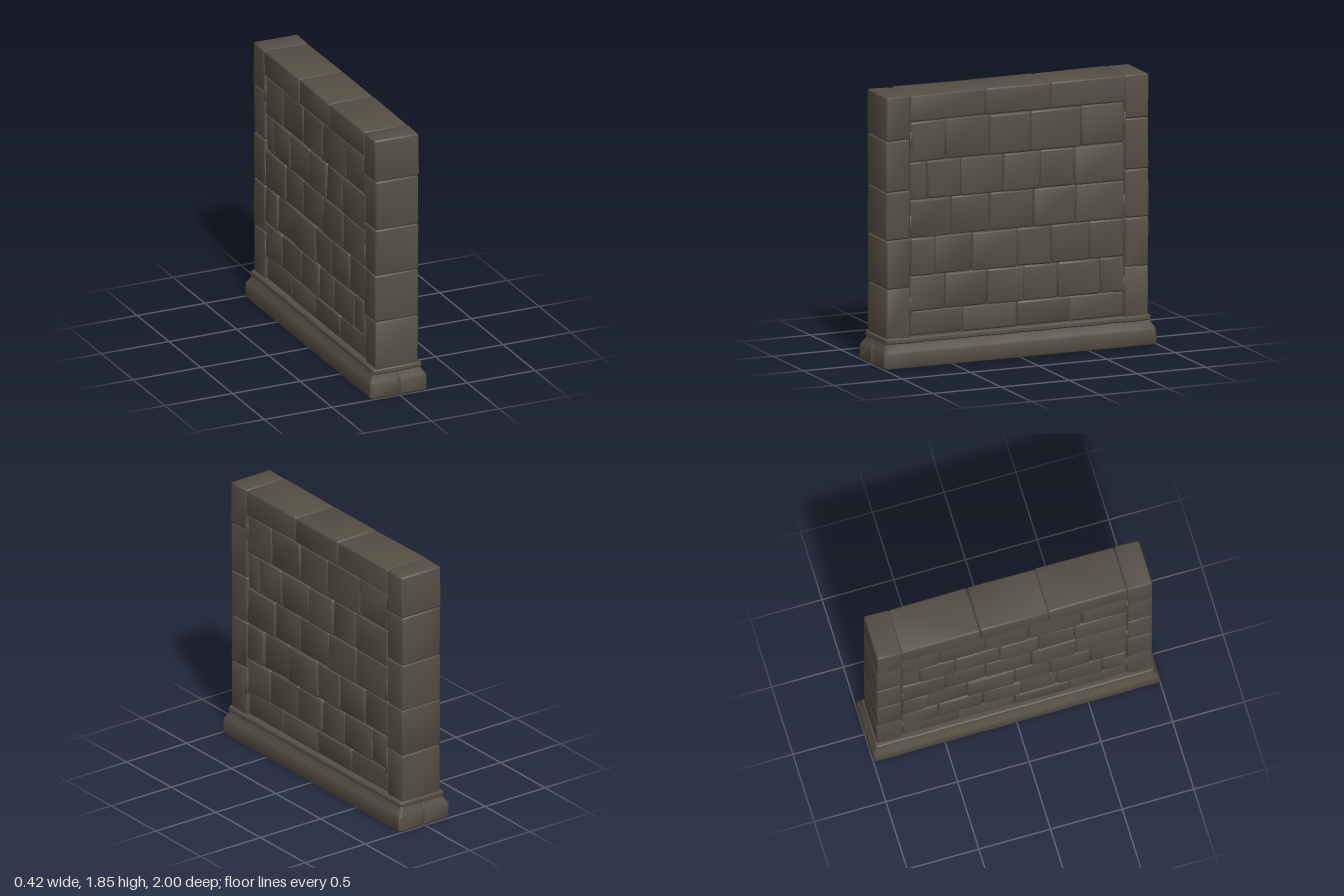
import * as THREE from 'three';
import { mergeVertices, toCreasedNormals } from 'three/addons/utils/BufferGeometryUtils.js';
import { RoundedBoxGeometry } from 'three/addons/geometries/RoundedBoxGeometry.js';

// Seeded random numbers for stone-to-stone variation
let seed = 7;
const rand = () => {
  seed = (seed * 16807) % 2147483647;
  return seed / 2147483647;
};

// Gentle unevenness that makes edges look hand cut
function weather(geometry, amount, phase = 0) {
  const p = geometry.attributes.position;
  for (let i = 0; i < p.count; i++) {
    const x = p.getX(i), y = p.getY(i), z = p.getZ(i);
    p.setXYZ(i,
      x + amount * Math.sin(13 * y + 17 * z + phase),
      y + amount * Math.sin(19 * z + 11 * x + phase * 2) * Math.min(1, y * 10),
      z + amount * Math.sin(15 * y + 21 * x + phase * 3));
  }
}

// One worn block given by its limits on each axis
function block(name, material, [x0, x1], [y0, y1], [z0, z1], radius = 0.014, wear = 0.003) {
  let g = new RoundedBoxGeometry(x1 - x0, y1 - y0, z1 - z0, 3, radius);
  g.deleteAttribute('normal');
  g.deleteAttribute('uv');
  g.translate((x0 + x1) / 2, (y0 + y1) / 2, (z0 + z1) / 2);
  g = mergeVertices(g, 1e-5);
  weather(g, wear, rand() * 6);
  const mesh = new THREE.Mesh(toCreasedNormals(g, 0.7), material);
  mesh.name = name;
  return mesh;
}

// Outline of the plinth at one height, with cut corners and a seam in each end
function plinthRing(y, hx, hz, notch) {
  const c = Math.min(0.014, hx), s = Math.min(0.012, hx), half = [];
  for (const [x, dz] of [[-hx + c, 0], [-s, 0], [0, notch], [s, 0], [hx - c, 0]]) half.push([x, hz - dz]);
  for (let i = 0; i <= 14; i++) half.push([hx, (hz - c) * (1 - i / 7)]);
  return [...half, ...half.map(([x, z]) => [-x, -z])].map(([x, z]) => [x, y, z]);
}

function plinth(material) {
  const rings = [
    [0, 0, 0.8, 0], [0, 0.203, 0.99, 0.012], [0.012, 0.21, 0.998, 0.016], [0.095, 0.209, 0.997, 0.016],
    [0.115, 0.202, 0.99, 0.012], [0.155, 0.176, 0.968, 0.004], [0.163, 0.175, 0.966, 0], [0.17, 0.181, 0.972, 0],
    [0.19, 0.18, 0.971, 0], [0.199, 0.17, 0.963, 0], [0.199, 0.12, 0.9, 0],
  ].map((r) => plinthRing(...r));
  const n = rings[0].length, index = [];
  for (let i = 0; i < rings.length - 1; i++) {
    for (let j = 0; j < n; j++) {
      const k = (j + 1) % n, a = i * n + j, b = i * n + k, c = b + n, d = a + n;
      index.push(a, b, c, a, c, d);
    }
  }
  const g = new THREE.BufferGeometry();
  g.setAttribute('position', new THREE.Float32BufferAttribute(rings.flat(2), 3));
  g.setIndex(index);
  weather(g, 0.002);
  const mesh = new THREE.Mesh(toCreasedNormals(g, 0.6), material);
  mesh.name = 'plinth';
  return mesh;
}

// Brick courses of one face: bottom, top, then joints from the front to the back
const courses = [
  [0.2, 0.37, [0.395, 0, -0.38]],
  [0.37, 0.61, [0.53, 0.22, -0.05, -0.3, -0.61]],
  [0.61, 0.87, [0.6, 0.33, 0, -0.25, -0.53]],
  [0.87, 1.13, [0.48, 0.2, -0.12, -0.43]],
  [1.13, 1.39, [0.66, 0.41, 0.1, -0.17, -0.42]],
  [1.39, 1.665, [0.52, 0.2, -0.1, -0.47]],
];

function brickFace(name, material) {
  const face = new THREE.Group();
  face.name = name;
  for (const [y0, y1, joints] of courses) {
    const ends = [0.783, ...joints, -0.783];
    for (let i = 0; i < ends.length - 1; i++) {
      const front = 0.145 + rand() * 0.013;
      face.add(block('brick', material, [0.07, front], [y0, y1], [ends[i + 1], ends[i]], 0.016, 0.003));
    }
  }
  // Small wedges between the panel and the end pillars
  for (const z of [-0.783, 0.783]) {
    for (const [y0, y1] of [[0.35, 0.47], [0.9, 1.03], [1.49, 1.6]]) {
      face.add(block('wedge', material, [0.1, 0.163], [y0, y1], [z - 0.009, z + 0.009], 0.003, 0.001));
    }
  }
  return face;
}

export function createModel() {
  seed = 7;
  const stone = new THREE.MeshStandardMaterial({ color: 0x554f43 });
  stone.name = 'weathered stone';
  const wall = new THREE.Group();
  wall.name = 'stoneWall';
  wall.add(plinth(stone));

  // Solid core closes the joints
  const core = new THREE.Mesh(new THREE.BoxGeometry(0.27, 1.65, 1.88), stone);
  core.name = 'core';
  core.position.y = 1.0;
  wall.add(core);

  // The two faces are half-turn copies
  const left = brickFace('leftFace', stone);
  const right = left.clone();
  right.name = 'rightFace';
  right.rotation.y = Math.PI;
  wall.add(left, right);

  // Stacked end pillars
  const levels = [0.19, 0.535, 0.87, 1.2, 1.55, 1.85];
  for (const side of [1, -1]) {
    for (let i = 0; i < levels.length - 1; i++) {
      const hx = i === 4 ? 0.163 : 0.155 + rand() * 0.005;
      const z = [side * 0.787, side * 0.961].sort((a, b) => a - b);
      wall.add(block('pillarBlock', stone, [-hx, hx], [levels[i], levels[i + 1]], z, 0.014, 0.002));
    }
  }

  // Capping stones
  const caps = [-0.787, -0.24, 0.235, 0.787];
  for (let i = 0; i < 3; i++) {
    wall.add(block('capStone', stone, [-0.163, 0.163], [1.67, 1.85], [caps[i], caps[i + 1]], 0.014, 0.0025));
  }
  return wall;
}
